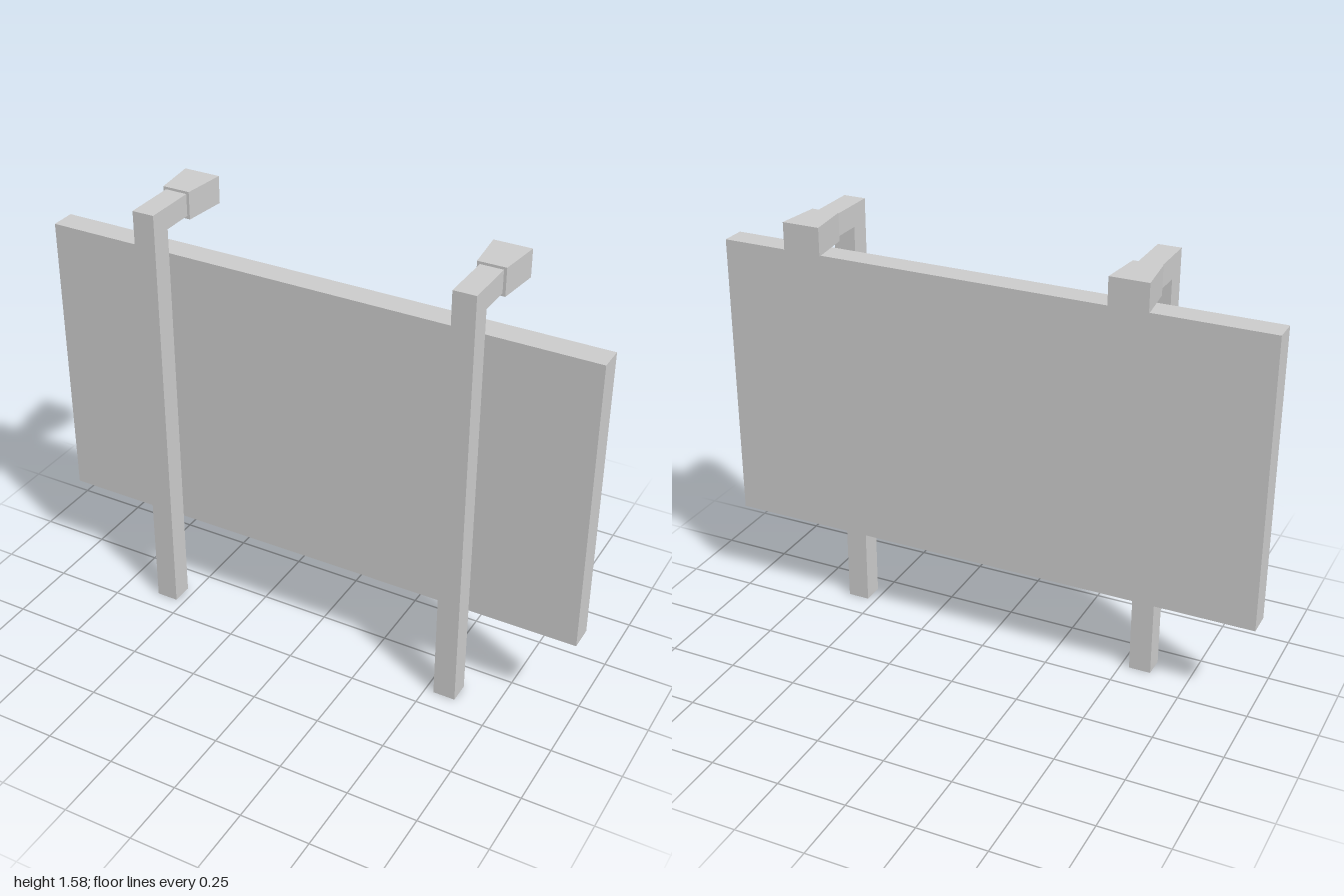
import * as THREE from 'three';

const POST_X = 0.572, HALF = 0.04;
const FRONT = 0.178, PANEL_FRONT = 0.10, ARM_END = -0.018, BACK = -0.178;
const ARM_TOP = 1.567, ARM_BOTTOM = 1.488;

// Square tube bent once: rings at the foot, the mitre and the arm tip, open at the ends
function bentTube() {
  const rings = [
    { outer: [0, FRONT], inner: [0, PANEL_FRONT] },
    { outer: [ARM_TOP, FRONT], inner: [ARM_BOTTOM, PANEL_FRONT] },
    { outer: [ARM_TOP, ARM_END], inner: [ARM_BOTTOM, ARM_END] },
  ];
  const positions = [], index = [];
  for (const { outer, inner } of rings) {
    positions.push(HALF, ...outer, HALF, ...inner, -HALF, ...inner, -HALF, ...outer);
  }
  for (let r = 0; r < rings.length - 1; r++) {
    for (let i = 0; i < 4; i++) {
      const a = r * 4 + i, b = r * 4 + (i + 1) % 4;
      index.push(a, b, b + 4, a, b + 4, a + 4);
    }
  }
  const indexed = new THREE.BufferGeometry();
  indexed.setAttribute('position', new THREE.Float32BufferAttribute(positions, 3));
  indexed.setIndex(index);
  const geometry = indexed.toNonIndexed();
  geometry.computeVertexNormals();
  return geometry;
}

// Lamp head: a plan trapezoid widening to the back, extruded upwards
function lampHead() {
  const plan = new THREE.Shape([
    new THREE.Vector2(-0.05, -ARM_END),
    new THREE.Vector2(0.05, -ARM_END),
    new THREE.Vector2(0.067, -BACK),
    new THREE.Vector2(-0.067, -BACK),
  ]);
  return new THREE.ExtrudeGeometry(plan, { depth: 0.099, bevelEnabled: false })
    .rotateX(-Math.PI / 2)
    .translate(0, 1.477, 0);
}

export function createModel() {
  const model = new THREE.Group();
  model.name = 'billboard';
  const grey = new THREE.MeshStandardMaterial({ color: 0xcccccc, flatShading: true });
  const openGrey = grey.clone();
  openGrey.side = THREE.DoubleSide;

  const add = (parent, name, geometry, material = grey) => {
    const mesh = new THREE.Mesh(geometry, material);
    mesh.name = name;
    parent.add(mesh);
    return mesh;
  };

  // Display panel, mounted behind the posts
  add(model, 'panel', new THREE.BoxGeometry(2, 1.063, 0.09)).position.set(0, 0.8695, 0.055);

  // Two posts, each with an overhead arm and lamp
  const tube = bentTube(), lamp = lampHead();
  for (const [side, sign] of [['left', 1], ['right', -1]]) {
    const support = new THREE.Group();
    support.name = `${side}Support`;
    support.position.x = sign * POST_X;
    add(support, `${side}PostAndArm`, tube, openGrey);
    add(support, `${side}Lamp`, lamp);
    model.add(support);
  }
  return model;
}
